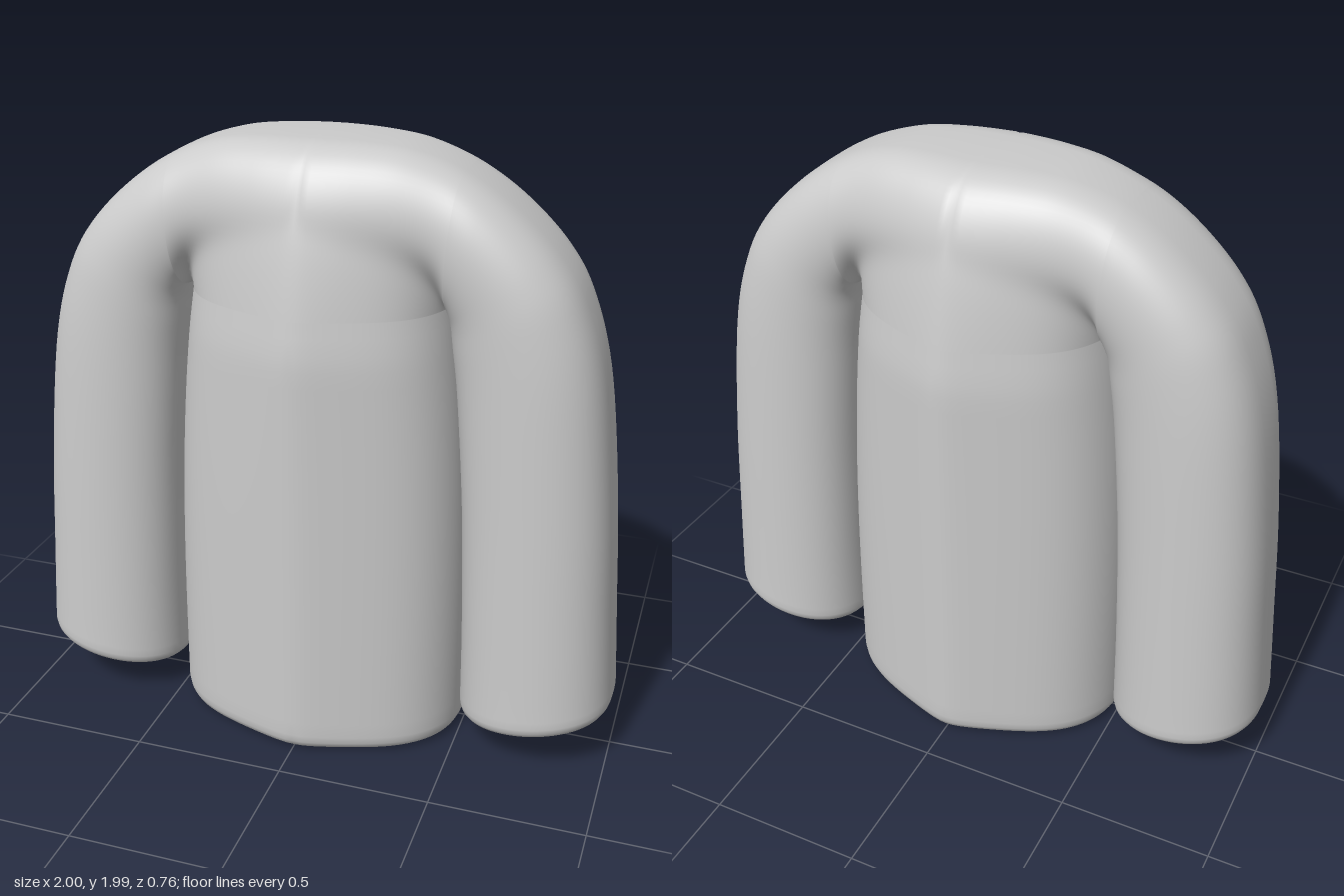
import * as THREE from 'three';
import { mergeVertices } from 'three/addons/utils/BufferGeometryUtils.js';

const ARM = 32; // rows from shoulder line to armpit
const COLS = 32; // columns from centre to side
const ARMPIT = new THREE.Vector2(0.42, 1.5);

const spline = (pts) => new THREE.SplineCurve(pts.map((p) => new THREE.Vector2(...p)));

// Outline of the neck, shoulder and outer sleeve; the first three spans belong to the body
const outer = spline([[0, 1.99], [0.15, 1.988], [0.3, 1.972], [0.45, 1.92], [0.6, 1.825], [0.74, 1.69],
  [0.83, 1.54], [0.9, 1.3], [0.95, 0.9], [0.98, 0.5], [1, 0.22]]);
// Underside of the sleeve, armpit to cuff
const inner = spline([[0.42, 1.5], [0.422, 1.48], [0.425, 1.45], [0.43, 1.39], [0.45, 1.22],
  [0.478, 0.85], [0.493, 0.45], [0.498, 0.145]]);

// Half depth of a sleeve section; s = 0 at shoulder, 1 at cuff
const sleeveDepth = (s, a) =>
  (0.235 + 0.033 * s) * Math.pow(Math.max(0, Math.sin(a)), 0.55 + 0.2 * s);

// Body rows below the armpit: [height, scale in x, scale in z], ending in the flat hem
const lower = [];
for (let k = 1; k <= 28; k++) lower.push([1.5 - (1.44 * k) / 28, 1, 1]);
lower.push([0.035, 0.992, 0.99], [0.018, 0.975, 0.97], [0.007, 0.945, 0.935], [0.001, 0.9, 0.88], [0, 0.85, 0.8], [0, 0.85, 0]);

// Body: a softly pointed lens in plan that swells into the shoulders
function bodyPoint(i, j) {
  const u = Math.sin((i / COLS) * Math.PI / 2);
  const ridge = Math.hypot(u, 0.12) - 0.12;
  const lens = (1 - 0.46 * ridge) * Math.sqrt(Math.max(0, 1 - u ** 6));
  if (j <= ARM) {
    const a = (j / ARM) * Math.PI;
    const t = (1 - Math.cos(a)) / 2;
    const top = outer.getPoint(u * 0.3);
    const chest = 0.36 * Math.pow(t, 0.2) * lens;
    const shoulder = sleeveDepth(0, a) * Math.pow(u, 14 * t ** 6); // fades out above the armpit
    return [
      THREE.MathUtils.lerp(top.x, ARMPIT.x * u, t),
      THREE.MathUtils.lerp(top.y, ARMPIT.y, t),
      Math.pow(chest ** 6 + shoulder ** 6, 1 / 6),
    ];
  }
  const [y, sx, sz] = lower[j - ARM - 1];
  const width = 0.495 - 0.075 * (y / 1.5) ** 3;
  return [u * width * sx, y, (0.36 + 0.018 * Math.min(1, (1.5 - y) * 8)) * lens * sz];
}

// Sleeve: sections spanning the outer and inner lines, closed by a rounded cuff
const RINGS = 48;
const cuff = [[0.985, 0.018], [0.95, 0.032], [0.89, 0.04], [0.75, 0.045], [0.4, 0.048], [0, 0.05]]; // [scale, drop]
function sleevePoint(i, j) {
  const s = Math.min(1, i / RINGS);
  const a = (j / ARM) * Math.PI;
  const o = outer.getPoint(0.3 + 0.7 * s);
  const n = inner.getPoint(s);
  const p = o.clone().lerp(n, (1 - Math.cos(a)) / 2);
  let z = sleeveDepth(s, a);
  if (i > RINGS) {
    const [k, drop] = cuff[i - RINGS - 1];
    p.lerp(o.clone().add(n).multiplyScalar(0.5), 1 - k);
    p.y -= drop;
    z *= k;
  }
  return [p.x, p.y, z];
}

// Adds one grid of points, mirrored to left/right and front/back
function addGrid(pos, index, nx, ny, point) {
  for (const sx of [1, -1]) for (const sz of [1, -1]) {
    const base = pos.length / 3;
    for (let i = 0; i <= nx; i++) for (let j = 0; j <= ny; j++) {
      const [x, y, z] = point(i, j);
      pos.push(sx * x, y, sz * z + 0.003 + 0.015 * Math.min(1, x / 0.5));
    }
    for (let i = 0; i < nx; i++) for (let j = 0; j < ny; j++) {
      const a = base + i * (ny + 1) + j, c = a + 1, b = a + ny + 1, d = b + 1;
      if (sx * sz > 0) index.push(a, c, d, a, d, b);
      else index.push(a, d, c, a, b, d);
    }
  }
}

export function createModel() {
  const pos = [], index = [];
  addGrid(pos, index, COLS, ARM + lower.length, bodyPoint);
  addGrid(pos, index, RINGS + cuff.length, ARM, sleevePoint);

  // Weld body and sleeves into one smooth skin
  let geometry = new THREE.BufferGeometry();
  geometry.setAttribute('position', new THREE.Float32BufferAttribute(pos, 3));
  geometry.setIndex(index);
  geometry = mergeVertices(geometry, 1e-4);
  geometry.computeVertexNormals();

  const jumper = new THREE.Mesh(geometry, new THREE.MeshStandardMaterial({ color: 0xcccccc }));
  jumper.name = 'jumperBodyAndSleeves';
  const group = new THREE.Group();
  group.name = 'jumper';
  group.add(jumper);
  return group;
}
